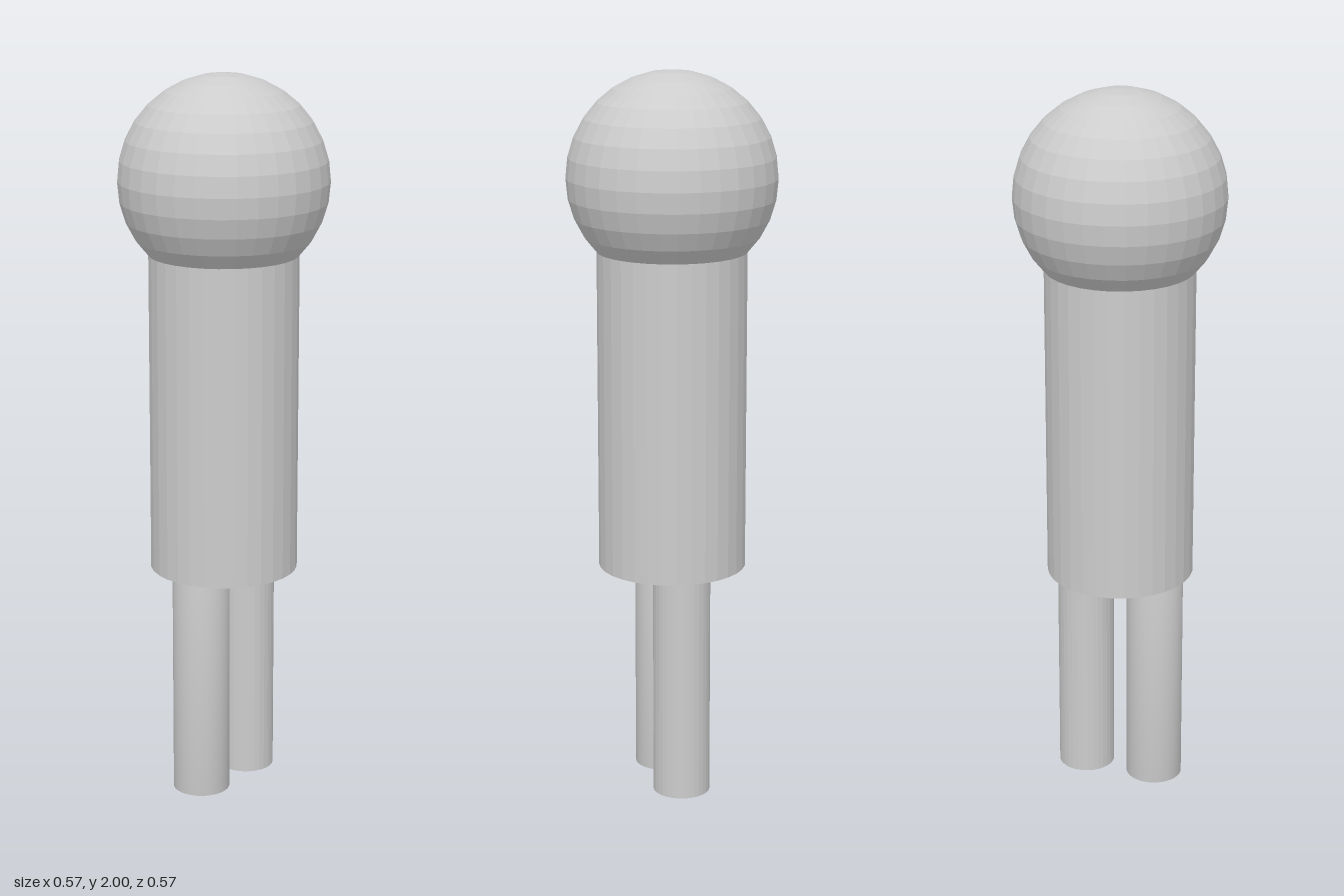
import * as THREE from 'three';
import { mergeVertices } from 'three/addons/utils/BufferGeometryUtils.js';

// Faceted normals: every face gets its own
function faceted(geometry) {
  const g = geometry.toNonIndexed();
  g.computeVertexNormals();
  return g;
}

// Smooth normals shared across the sides and caps
function smoothed(geometry) {
  geometry.deleteAttribute('normal');
  geometry.deleteAttribute('uv');
  const g = mergeVertices(geometry, 1e-4);
  g.computeVertexNormals();
  return g;
}

export function createModel() {
  const model = new THREE.Group();
  model.name = 'figure';
  const grey = new THREE.MeshStandardMaterial({ color: 0xcccccc });
  grey.name = 'light grey';

  function add(name, geometry, x, y) {
    const mesh = new THREE.Mesh(geometry, grey);
    mesh.name = name;
    mesh.position.set(x, y, 0);
    model.add(mesh);
  }

  // Upright cylinder from y0 to y1
  const hip = 0.635, neck = 1.52;
  const column = (r, y0, y1) => new THREE.CylinderGeometry(r, r, y1 - y0, 32);

  // Ball head resting on the torso
  add('head', faceted(new THREE.SphereGeometry(0.285, 32, 16)), 0, 1.715);

  // Torso
  add('torso', faceted(column(0.204, hip, neck)), 0, (hip + neck) / 2);

  // Legs: the left is faceted, the right is smooth
  add('leftLeg', faceted(column(0.079, 0, hip)), 0.103, hip / 2);
  add('rightLeg', smoothed(column(0.079, 0, hip)), -0.103, hip / 2);

  return model;
}
